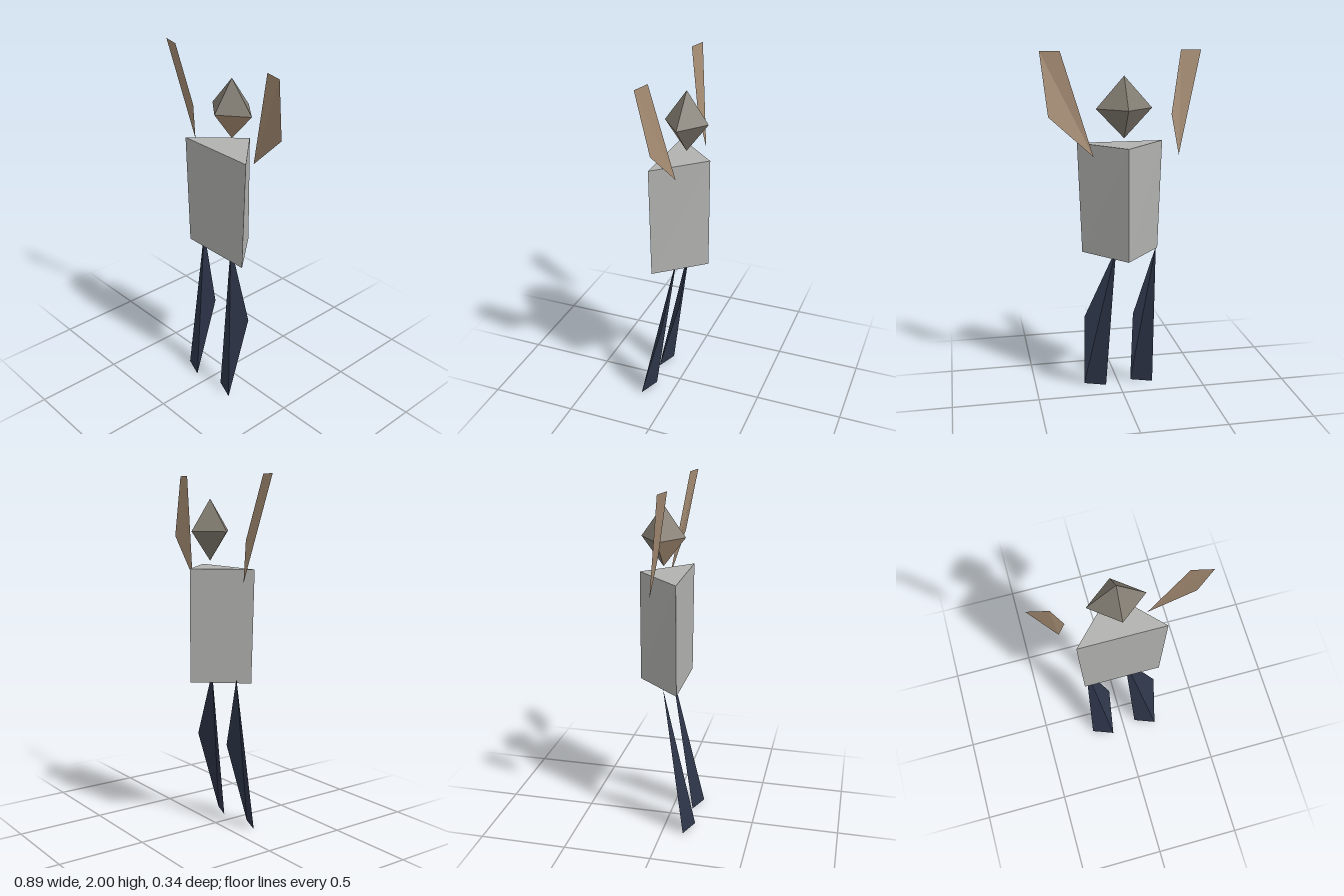
import * as THREE from 'three';

const material = (name, color, side = THREE.FrontSide) => {
  const m = new THREE.MeshStandardMaterial({ color, side, flatShading: true });
  m.name = name;
  return m;
};

// Flat-shaded mesh from triangles, each given as three [x, y, z] corners
function facets(name, triangles, mat) {
  const geometry = new THREE.BufferGeometry();
  geometry.setAttribute('position', new THREE.Float32BufferAttribute(triangles.flat(2), 3));
  geometry.computeVertexNormals();
  const mesh = new THREE.Mesh(geometry, mat);
  mesh.name = name;
  return mesh;
}

// Folded sheet limb: two triangles meeting along the line from tip to inner end corner
const limb = (name, tip, joint, endNear, endFar, mat) =>
  facets(name, [[tip, joint, endNear], [tip, endNear, endFar]], mat);

export function createModel() {
  const model = new THREE.Group();
  model.name = 'figure';

  const shirt = material('shirt grey', 0xb2b2b0);
  const hair = material('hair grey', 0x827c71);
  const face = material('face skin', 0xa68d74);
  const skin = material('arm skin', 0xa68d74, THREE.DoubleSide);
  const trousers = material('trouser navy', 0x2e364a, THREE.DoubleSide);
  face.dispose();
  
  // Torso: three-sided prism, flat at the front with an edge down the back
  const section = (y, w) => [[w, y, 0.085], [0, y, -0.172], [-w, y, 0.085]];
  const top = section(1.497, 0.243);
  const bottom = section(0.865, 0.221);
  const torso = [top, [...bottom].reverse()];
  for (let i = 0; i < 3; i++) {
    const j = (i + 1) % 3;
    torso.push([bottom[i], bottom[j], top[j]], [bottom[i], top[j], top[i]]);
  }
  model.add(facets('torso', torso, shirt));

  // Head: octahedron whose two lower front facets are the face
  const z = -0.037;
  const ring = [[0.155, 1.698, z], [0, 1.698, z - 0.123], [-0.155, 1.698, z], [0, 1.698, z + 0.123]];
  const hairFacets = [];
  const faceFacets = [];
  for (let i = 0; i < 4; i++) {
    const a = ring[i];
    const b = ring[(i + 1) % 4];
    hairFacets.push([a, b, [0, 1.872, z]]);
    (i < 2 ? hairFacets : faceFacets).push([b, a, [0, 1.535, z]]);
  }
  const head = new THREE.Group();
  head.name = 'head';
  head.add(facets('hair', hairFacets, hair), facets('face', faceFacets, skin));
  model.add(head);

  // Raised arms: shoulder tip, elbow, then the two hand corners
  model.add(
    limb('rightArm', [-0.308, 1.435, -0.04], [-0.274, 1.655, 0], [-0.338, 2, 0.062], [-0.445, 2, 0.037], skin),
    limb('leftArm', [0.17, 1.437, -0.04], [0.409, 1.655, 0], [0.443, 2, 0.062], [0.335, 2, 0.037], skin),
  );

  // Legs: hip tip, knee, then the two foot corners
  model.add(
    limb('rightLeg', [-0.193, 0.897, 0.003], [-0.066, 0.485, 0.03], [-0.08, 0, 0.17], [-0.207, 0, 0.122], trousers),
    limb('leftLeg', [0.038, 0.897, 0.003], [0.22, 0.49, 0.03], [0.206, 0, 0.17], [0.08, 0, 0.122], trousers),
  );

  return model;
}
